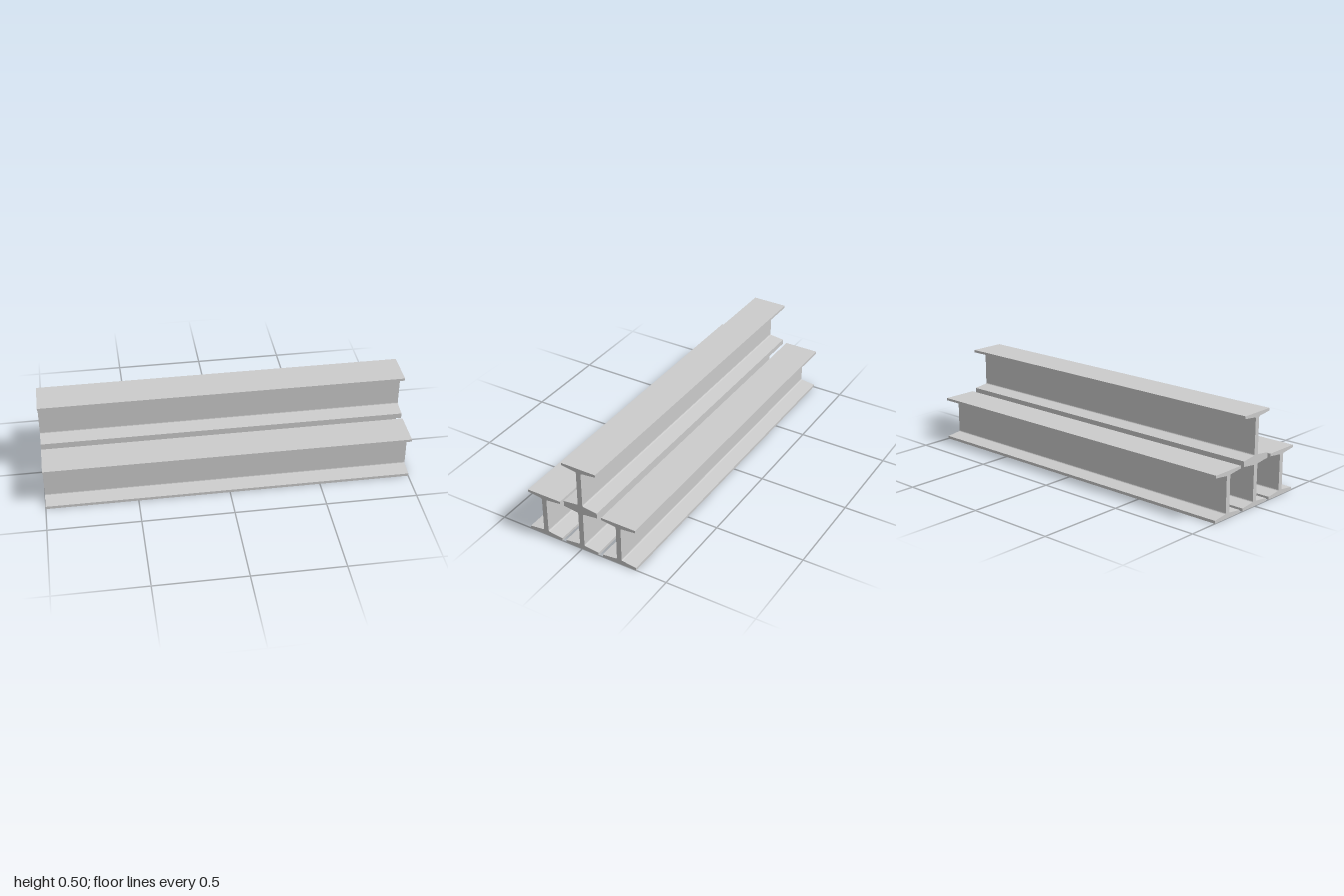
import * as THREE from 'three';

const LENGTH = 2, HEIGHT = 0.25, HALF_FLANGE = 0.1, HALF_WEB = 0.014;

// I-shaped section with tapered flanges and small fillets at the web
function beamSection() {
  const bottomEdge = 0.0155, bottomRoot = 0.026;
  const topEdge = HEIGHT - 0.0138, topRoot = HEIGHT - 0.0238;
  const fillet = 0.007, inner = HALF_WEB + fillet;
  const s = new THREE.Shape();
  s.moveTo(-HALF_FLANGE, 0);
  s.lineTo(HALF_FLANGE, 0);
  // right side, going up
  s.lineTo(HALF_FLANGE, bottomEdge);
  s.lineTo(inner, bottomRoot - 0.0008);
  s.quadraticCurveTo(HALF_WEB, bottomRoot, HALF_WEB, bottomRoot + fillet);
  s.lineTo(HALF_WEB, topRoot - fillet);
  s.quadraticCurveTo(HALF_WEB, topRoot, inner, topRoot + 0.0008);
  s.lineTo(HALF_FLANGE, topEdge);
  s.lineTo(HALF_FLANGE, HEIGHT);
  // left side, going down
  s.lineTo(-HALF_FLANGE, HEIGHT);
  s.lineTo(-HALF_FLANGE, topEdge);
  s.lineTo(-inner, topRoot + 0.0008);
  s.quadraticCurveTo(-HALF_WEB, topRoot, -HALF_WEB, topRoot - fillet);
  s.lineTo(-HALF_WEB, bottomRoot + fillet);
  s.quadraticCurveTo(-HALF_WEB, bottomRoot, -inner, bottomRoot - 0.0008);
  s.lineTo(-HALF_FLANGE, bottomEdge);
  s.closePath();
  return s;
}

export function createModel() {
  const model = new THREE.Group();
  model.name = 'beamStack';
  const material = new THREE.MeshStandardMaterial({ color: 0xcccccc, flatShading: true });

  // one beam running along x, shared by the whole stack
  const geometry = new THREE.ExtrudeGeometry(beamSection(), {
    depth: LENGTH, bevelEnabled: false, curveSegments: 4,
  });
  geometry.translate(0, 0, -LENGTH / 2);
  geometry.rotateY(Math.PI / 2);

  // three beams on the ground, one on top of the middle
  const places = [
    ['frontBeam', 0, 0.225],
    ['middleBeam', 0, 0],
    ['backBeam', 0, -0.225],
    ['topBeam', HEIGHT, 0],
  ];
  for (const [name, y, z] of places) {
    const beam = new THREE.Mesh(geometry, material);
    beam.name = name;
    beam.position.set(0, y, z);
    model.add(beam);
  }
  return model;
}
